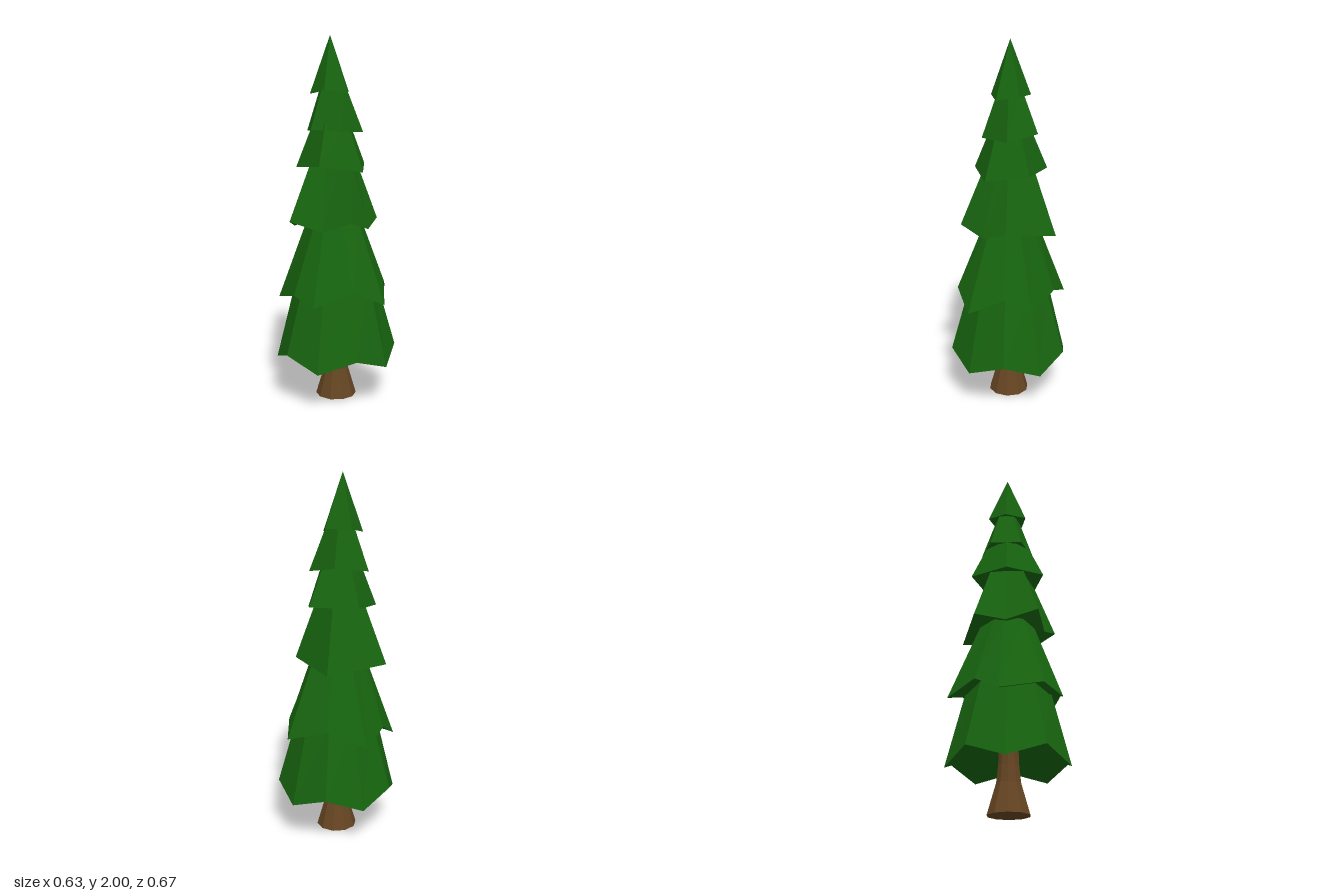
import * as THREE from 'three';

const green = new THREE.MeshStandardMaterial({ color: 0x17640f, flatShading: true });
const brown = new THREE.MeshStandardMaterial({ color: 0x654522, flatShading: true });

// One skirt of branches: a jagged rim [x, y, z] tapering to a scaled copy of itself
// at the top, with a shallow recessed underside. Rims run front -> +x -> back -> -x.
function branchTier(name, rim, { center, topY, taper, recessY }) {
  const [cx, cz] = center;
  const n = rim.length;
  const positions = [];
  const top = rim.map(([x, , z]) => [cx + (x - cx) * taper, topY, cz + (z - cz) * taper]);
  const peak = [cx, topY, cz];
  const recess = [cx, recessY, cz];
  const tri = (...corners) => corners.forEach((p) => positions.push(...p));
  for (let i = 0; i < n; i++) {
    const j = (i + 1) % n;
    tri(rim[i], rim[j], top[j]);
    if (taper > 0) {
      tri(rim[i], top[j], top[i]);
      tri(top[i], top[j], peak);
    }
    tri(rim[j], rim[i], recess);
  }
  const geometry = new THREE.BufferGeometry();
  geometry.setAttribute('position', new THREE.Float32BufferAttribute(positions, 3));
  geometry.computeVertexNormals();
  const mesh = new THREE.Mesh(geometry, green);
  mesh.name = name;
  return mesh;
}

export function createModel() {
  const tree = new THREE.Group();
  tree.name = 'pineTree';

  // Flared trunk, closed at the foot
  const profile = [[0, 0], [0.113, 0], [0.066, 0.16], [0.056, 0.25], [0.05, 0.4]];
  const trunk = new THREE.Mesh(
    new THREE.LatheGeometry(profile.map(([r, y]) => new THREE.Vector2(r, y)), 10), brown);
  trunk.name = 'trunk';
  tree.add(trunk);

  // Bottom skirt: regular ten-sided rim, alternating low and high corners
  const bottomRim = Array.from({ length: 10 }, (_, i) => {
    const a = (i * Math.PI) / 5;
    return [Math.sin(a) * 0.333, i % 2 ? 0.29 : 0.22, Math.cos(a) * 0.333];
  });
  tree.add(branchTier('bottomBranches', bottomRim,
    { center: [0, 0], topY: 0.68, taper: 0.66, recessY: 0.34 }));

  // Lower skirt
  tree.add(branchTier('lowerBranches', [
    [-0.03, 0.575, 0.31], [0.165, 0.655, 0.24], [0.305, 0.57, 0.11], [0.255, 0.66, -0.08],
    [0.229, 0.59, -0.229], [0, 0.655, -0.27], [-0.21, 0.58, -0.26], [-0.275, 0.64, -0.08],
    [-0.316, 0.56, 0.066], [-0.16, 0.62, 0.25],
  ], { center: [-0.005, 0], topY: 1.03, taper: 0.46, recessY: 0.67 }));

  // Middle skirt
  tree.add(branchTier('middleBranches', [
    [-0.015, 0.965, 0.212], [0.15, 1.02, 0.221], [0.2, 0.97, 0.062], [0.214, 1.015, -0.075],
    [0, 0.97, -0.277], [-0.286, 1.0, -0.086], [-0.22, 0.97, 0.066], [-0.186, 1.018, 0.236],
  ], { center: [-0.015, 0], topY: 1.34, taper: 0.5, recessY: 1.05 }));

  // Upper three skirts: irregular five-sided rims
  tree.add(branchTier('upperBranches', [
    [-0.027, 1.31, 0.216], [0.17, 1.275, 0.066], [0.116, 1.31, -0.166],
    [-0.15, 1.31, -0.166], [-0.208, 1.295, 0.066],
  ], { center: [-0.02, 0], topY: 1.55, taper: 0.5, recessY: 1.35 }));

  tree.add(branchTier('highBranches', [
    [0.066, 1.49, 0.1286], [0.14, 1.485, -0.048], [-0.018, 1.515, -0.16],
    [-0.18, 1.49, -0.04], [-0.105, 1.5, 0.116],
  ], { center: [-0.025, 0], topY: 1.75, taper: 0.4, recessY: 1.54 }));

  tree.add(branchTier('treeTop', [
    [-0.03, 1.71, 0.116], [0.079, 1.69, 0.04], [0.046, 1.71, -0.082],
    [-0.098, 1.71, -0.0875], [-0.1375, 1.69, 0.034],
  ], { center: [-0.032, 0.005], topY: 2, taper: 0, recessY: 1.74 }));

  return tree;
}
